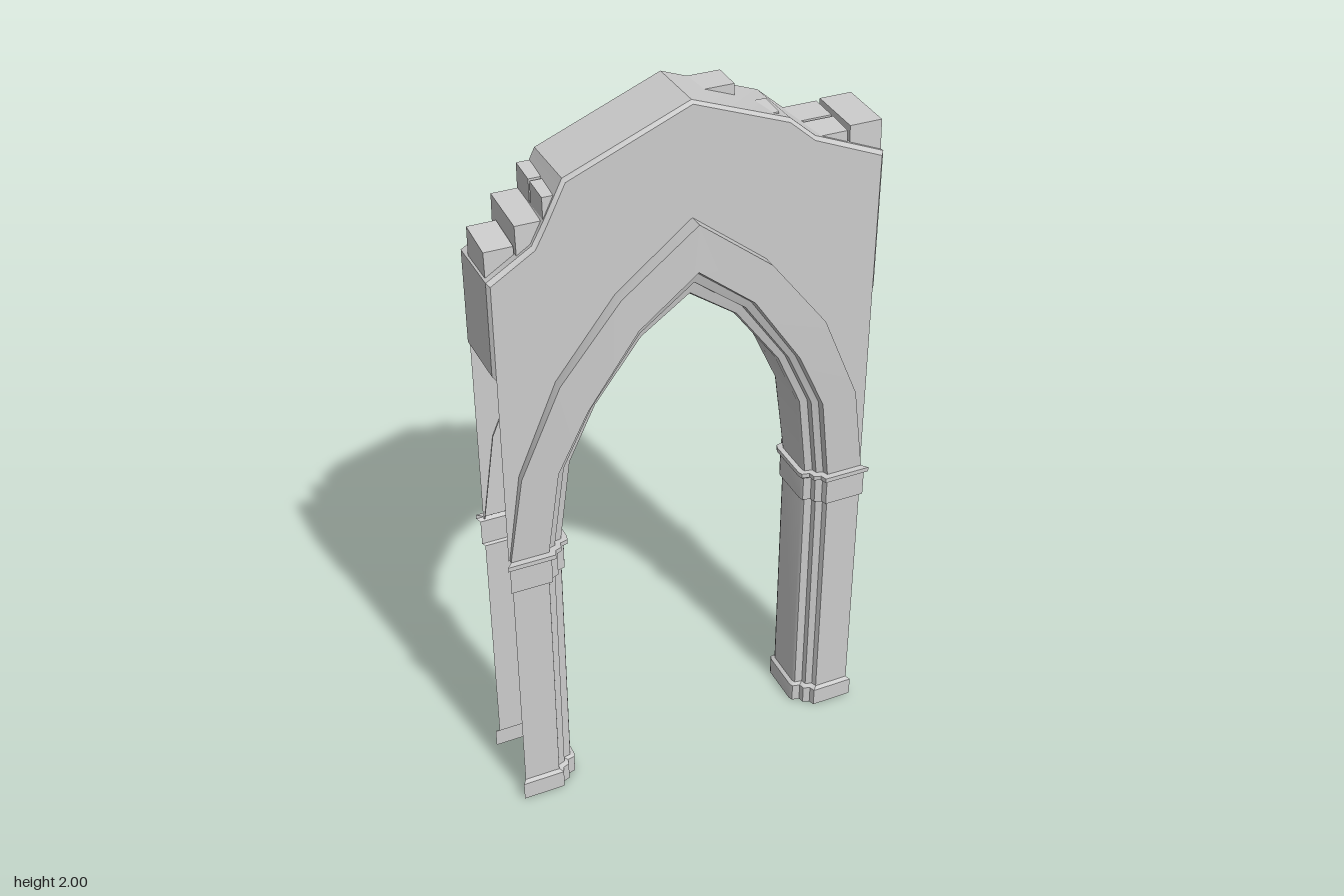
import * as THREE from 'three';
import { toCreasedNormals } from 'three/addons/utils/BufferGeometryUtils.js';

const material = new THREE.MeshStandardMaterial({ color: 0xcccccc, side: THREE.DoubleSide });

function addMesh(group, name, geometry) {
  const mesh = new THREE.Mesh(geometry, material);
  mesh.name = name;
  group.add(mesh);
  return mesh;
}

// Skin through a row of open cross-sections
function loft(sections, crease = 0.6) {
  const n = sections[0].length;
  const index = [];
  for (let i = 0; i < sections.length - 1; i++) {
    for (let j = 0; j < n - 1; j++) {
      const a = i * n + j, b = a + 1, c = a + n, d = c + 1;
      index.push(a, b, c, b, d, c);
    }
  }
  const geo = new THREE.BufferGeometry();
  geo.setAttribute('position', new THREE.Float32BufferAttribute(sections.flat(2), 3));
  geo.setIndex(index);
  return toCreasedNormals(geo, crease);
}

// Stepped moulding: [share of the way from front edge to inner face, share of depth]
const MOULDING = [[0, 1], [0.1, 0.86], [0.45, 0.8], [0.52, 0.66], [0.92, 0.62], [1, 0.52]];

// Section across the reveal, from the front outer edge round to the back outer edge
function revealSection(outer, front, inner, depth, wallDepth) {
  const half = [[...outer, depth]];
  if (wallDepth) half.unshift([...outer, wallDepth]);
  for (const [t, k] of MOULDING) {
    half.push([
      THREE.MathUtils.lerp(front[0], inner[0], t),
      THREE.MathUtils.lerp(front[1], inner[1], t),
      depth * k,
    ]);
  }
  const back = half.map(([x, y, z]) => [x, y, -z]).reverse();
  return [...half, ...back];
}

// Column with base and capital: [height, swelling]
const COLUMN = [
  [0, 0.01], [0.055, 0.01], [0.062, 0], [0.738, 0], [0.742, 0.007],
  [0.815, 0.007], [0.822, 0.016], [0.835, 0.016], [0.836, 0],
];

function columnGeometry(side) {
  const sections = COLUMN.map(([y, o]) => revealSection(
    [side * (0.505 + o * 0.9), y], [side * (0.405 - o), y],
    [side * (0.352 - o), y], 0.105 + o));
  return loft(side < 0 ? sections : sections.reverse());
}

// Left half of the arch from springing to apex: outer edge, front edge, inner edge, depth
const ARCH = [
  [[-0.505, 0.835], [-0.402, 0.835], [-0.35, 0.835], 0.105],
  [[-0.467, 1.09], [-0.37, 1.08], [-0.32, 1.075], 0.115],
  [[-0.36, 1.34], [-0.29, 1.25], [-0.25, 1.23], 0.124],
  [[-0.2, 1.545], [-0.155, 1.45], [-0.127, 1.395], 0.131],
  [[0, 1.703], [0, 1.575], [0, 1.485], 0.135],
];

function archGeometry() {
  const flip = ([x, y]) => [-x, y];
  const right = ARCH.slice(0, -1).reverse()
    .map(([o, f, i, d]) => [flip(o), flip(f), flip(i), d]);
  return loft([...ARCH, ...right].map(([o, f, i, d]) => revealSection(o, f, i, d, 0.09)));
}

// Broken skyline of the wall, including the short end faces
const SKYLINE = [
  [-0.515, 1.39], [-0.515, 1.645], [-0.4, 1.715], [-0.37, 1.77], [-0.32, 1.87], [0, 2],
  [0.255, 1.905], [0.325, 1.845], [0.515, 1.767], [0.515, 1.39],
];
const inset = ([x, y]) => [x * 0.985, y - 0.008];

function wallFaceGeometry() {
  const left = ARCH.map(([o]) => o);
  const right = left.slice(0, -1).reverse().map(([x, y]) => [-x, y]);
  const outline = [
    [-0.508, 0.835], ...SKYLINE.map(inset), [0.508, 0.835],
    ...[...left, ...right].reverse(),
  ];
  return new THREE.ShapeGeometry(new THREE.Shape(outline.map((p) => new THREE.Vector2(...p))));
}

function wallTopGeometry() {
  return loft(SKYLINE.map((p) => [
    [...inset(p), -0.095], [...p, -0.086], [...p, 0.086], [...inset(p), 0.095],
  ]));
}

// Loose stones: x range, y range, z range, drop of the outer top edge
const STONES = [
  [-0.51, -0.437, 1.62, 1.725, -0.05, 0.07, 0.012],
  [-0.435, -0.368, 1.66, 1.778, -0.085, 0.08, 0.01],
  [-0.368, -0.335, 1.72, 1.842, -0.085, -0.002, 0.006],
  [-0.368, -0.335, 1.72, 1.835, 0.002, 0.083, 0.006],
  [0.06, 0.155, 1.9, 1.974, -0.09, -0.006, 0.003],
  [0.19, 0.232, 1.87, 1.925, 0.002, 0.075, 0.006],
  [0.322, 0.417, 1.76, 1.846, -0.085, -0.002, 0.004],
  [0.322, 0.417, 1.76, 1.842, 0.002, 0.08, 0.006],
  [0.425, 0.512, 1.74, 1.852, -0.085, 0.08, 0.006],
];

function stoneGeometry([x0, x1, y0, y1, z0, z1, drop]) {
  const geo = new THREE.BoxGeometry(x1 - x0, y1 - y0, z1 - z0);
  geo.translate((x0 + x1) / 2, (y0 + y1) / 2, (z0 + z1) / 2);
  const p = geo.attributes.position;
  for (let i = 0; i < p.count; i++) {
    if (p.getY(i) < y1 - 0.001) continue;
    // worn top: slightly narrower and sloping to the front
    p.setZ(i, THREE.MathUtils.lerp(p.getZ(i), (z0 + z1) / 2, 0.06));
    if (p.getZ(i) > (z0 + z1) / 2) p.setY(i, y1 - drop);
  }
  geo.computeVertexNormals();
  return geo;
}

export function createModel() {
  const model = new THREE.Group();
  model.name = 'ruinedArch';

  addMesh(model, 'leftColumn', columnGeometry(1));
  addMesh(model, 'rightColumn', columnGeometry(-1));
  addMesh(model, 'archMoulding', archGeometry());

  // Wall
  const face = wallFaceGeometry();
  addMesh(model, 'wallFront', face).position.z = 0.095;
  const back = addMesh(model, 'wallBack', face);
  back.position.z = -0.095;
  back.scale.z = -1;
  addMesh(model, 'wallTop', wallTopGeometry());

  // Rubble on the broken top
  const stones = new THREE.Group();
  stones.name = 'looseStones';
  STONES.forEach((s, i) => addMesh(stones, `stone${i + 1}`, stoneGeometry(s)));
  model.add(stones);

  return model;
}
